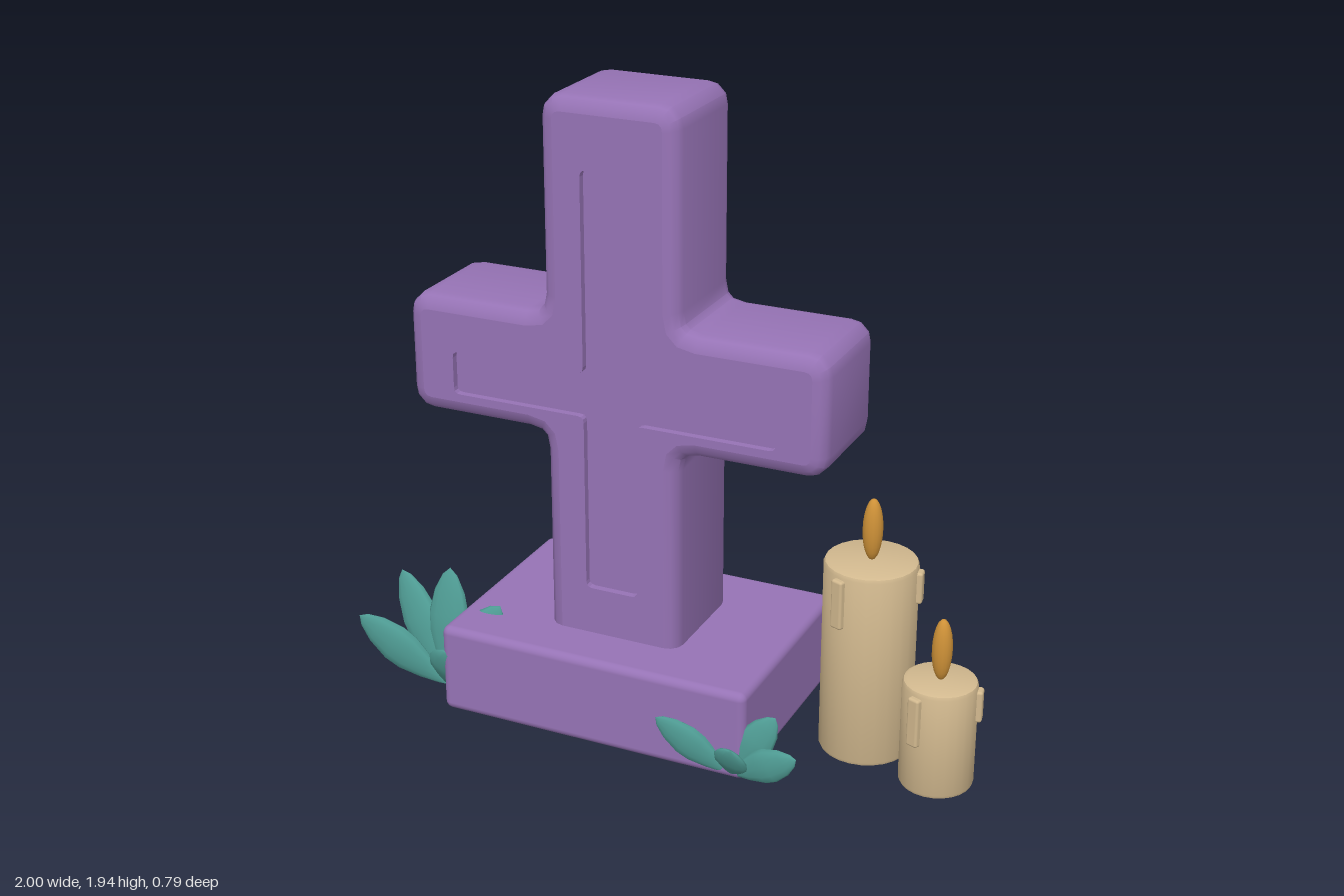
import * as THREE from 'three';
import { toCreasedNormals } from 'three/addons/utils/BufferGeometryUtils.js';
import { RoundedBoxGeometry } from 'three/addons/geometries/RoundedBoxGeometry.js';

const mat = (name, color, side = THREE.FrontSide) => {
  const m = new THREE.MeshStandardMaterial({ color, side });
  m.name = name;
  return m;
};

const CX = -0.14; // centre line of the monument

// Cross outline with rounded outer corners and filleted inner corners
function crossShape(w, arm, bottom, top, armLow, armHigh, rOut, rIn) {
  const half = [[w, bottom], [w, armLow], [arm, armLow], [arm, armHigh], [w, armHigh], [w, top]];
  const pts = [...half, ...half.map(([x, y]) => [-x, y]).reverse()]
    .map(([x, y]) => new THREE.Vector2(CX + x, y));
  const shape = new THREE.Shape();
  const n = pts.length;
  pts.forEach((p, i) => {
    const r = [1, 4, 7, 10].includes(i) ? rIn : rOut;
    const toward = (q) => p.clone().add(q.clone().sub(p).setLength(r));
    const a = toward(pts[(i + n - 1) % n]);
    const b = toward(pts[(i + 1) % n]);
    if (i === 0) shape.moveTo(a.x, a.y); else shape.lineTo(a.x, a.y);
    shape.quadraticCurveTo(p.x, p.y, b.x, b.y);
  });
  shape.closePath();
  return shape;
}

// Keep only the triangles whose three z values pass the test
function keepTriangles(geo, test) {
  const p = geo.attributes.position.array;
  const kept = [];
  for (let i = 0; i < p.length; i += 9) {
    if (test([p[i + 2], p[i + 5], p[i + 8]])) kept.push(...p.subarray(i, i + 9));
  }
  const out = new THREE.BufferGeometry();
  out.setAttribute('position', new THREE.Float32BufferAttribute(kept, 3));
  out.computeVertexNormals();
  return out;
}

export function createModel() {
  const stone = mat('purple stone', 0x9673b5, THREE.DoubleSide);
  const wax = mat('candle wax', 0xd2b98f);
  const fire = mat('amber flame', 0xcf9238);
  const green = mat('teal leaf', 0x4f9c94);
  const root = new THREE.Group();
  root.name = 'graveMonument';

  const add = (parent, name, geo, material, x = 0, y = 0, z = 0) => {
    const m = new THREE.Mesh(geo, material);
    m.name = name;
    m.position.set(x, y, z);
    parent.add(m);
    return m;
  };

  // Plinth
  add(root, 'plinth', new RoundedBoxGeometry(1.01, 0.285, 0.71, 3, 0.025), stone, CX, 0.1425, -0.042);

  // Cross: bevelled body, front face with an opening, sunken panel
  const cross = new THREE.Group();
  cross.name = 'cross';
  root.add(cross);
  const bevel = 0.045, back = -0.23, front = 0.148, sunk = 0.022;
  const outline = () => crossShape(0.215 - bevel, 0.67 - bevel, 0.2, 1.94 - bevel,
    0.92 + bevel, 1.29 - bevel, 0.025, 0.1);
  const body = new THREE.ExtrudeGeometry(outline(), {
    depth: front - back - 2 * bevel, bevelThickness: bevel, bevelSize: bevel,
    bevelSegments: 3, curveSegments: 3,
  });
  body.translate(0, 0, back + bevel);
  const open = keepTriangles(body, (z) => z.some((v) => v < front - 1e-4));
  add(cross, 'crossBody', toCreasedNormals(open, 0.6), stone);

  const panel = crossShape(0.085, 0.52, 0.435, 1.735, 0.99, 1.125, 0.02, 0.02);
  const face = outline();
  face.holes.push(panel);
  add(cross, 'crossFace', new THREE.ShapeGeometry(face, 3), stone, 0, 0, front);
  add(cross, 'panelFloor', new THREE.ShapeGeometry(panel, 3), stone, 0, 0, front - sunk);
  const rim = new THREE.ExtrudeGeometry(panel, { depth: sunk, bevelEnabled: false, curveSegments: 3 });
  add(cross, 'panelWalls', keepTriangles(rim, (z) => Math.max(...z) - Math.min(...z) > 1e-4),
    stone, 0, 0, front - sunk);

  // Candles: body, wax drips [dx, dz, low, high] and flame
  const candle = (name, x, z, r, h, drips) => {
    const g = new THREE.Group();
    g.name = name;
    g.position.set(x, 0, z);
    root.add(g);
    const c = 0.014;
    const profile = [[0, 0], [r - c, 0], [r - c * 0.3, c * 0.3], [r, c], [r, h - c],
      [r - c * 0.3, h - c * 0.3], [r - c, h], [0, h]].map(([a, b]) => new THREE.Vector2(a, b));
    add(g, 'wax', toCreasedNormals(new THREE.LatheGeometry(profile, 24), 0.6), wax);
    for (const [dx, dz, low, high] of drips) {
      const a = Math.atan2(dx, dz);
      const d = add(g, 'drip', new RoundedBoxGeometry(0.04, high - low, 0.03, 2, 0.008), wax,
        Math.sin(a) * r, (low + high) / 2, Math.cos(a) * r);
      d.rotation.y = a;
    }
    const flame = add(g, 'flame', new THREE.SphereGeometry(1, 16, 12), fire, 0, h + 0.094, 0);
    flame.scale.set(0.03, 0.097, 0.03);
  };
  candle('tallCandle', 0.61, -0.045, 0.14, 0.62,
    [[-0.05, 0.13, 0.445, 0.6], [0.14, -0.02, 0.5, 0.6], [0.07, -0.125, 0.5, 0.6]]);
  candle('shortCandle', 0.87, 0.063, 0.11, 0.34,
    [[-0.04, 0.105, 0.165, 0.32], [0.11, -0.02, 0.22, 0.32], [-0.075, -0.085, 0.2, 0.32]]);

  // Leaves: flattened pointed spindles running from root to tip
  const spindle = new THREE.LatheGeometry(
    [[0, 0], [0.24, 0.08], [0.62, 0.25], [0.94, 0.45], [0.98, 0.6], [0.74, 0.8], [0.36, 0.94], [0, 1]]
      .map(([a, b]) => new THREE.Vector2(a, b)), 12);
  const tuft = (name, base, width, tips) => {
    const g = new THREE.Group();
    g.name = name;
    root.add(g);
    const start = new THREE.Vector3(...base);
    for (const tip of tips) {
      const dir = new THREE.Vector3(...tip).sub(start);
      const len = dir.length();
      dir.normalize();
      const side = new THREE.Vector3().crossVectors(dir, new THREE.Vector3(0, 0, 1)).normalize();
      const normal = new THREE.Vector3().crossVectors(side, dir);
      const leaf = add(g, 'leaf', spindle, green, ...base);
      leaf.quaternion.setFromRotationMatrix(new THREE.Matrix4().makeBasis(side, dir, normal));
      leaf.scale.set(width, len, width * 0.36);
    }
  };
  tuft('leftLeafTuft', [-0.69, 0.02, 0.21], 0.073, [
    [-1.0, 0.2, 0.22], [-0.89, 0.345, 0.13], [-0.7, 0.4, 0.15], [-0.52, 0.31, 0.16],
    [-0.62, 0.2, 0.31],
  ]);
  tuft('rightLeafTuft', [0.32, 0.015, 0.305], 0.056, [
    [0.09, 0.16, 0.33], [0.22, 0.22, 0.27], [0.45, 0.22, 0.28], [0.53, 0.12, 0.315],
    [0.36, 0.15, 0.395],
  ]);

  return root;
}
